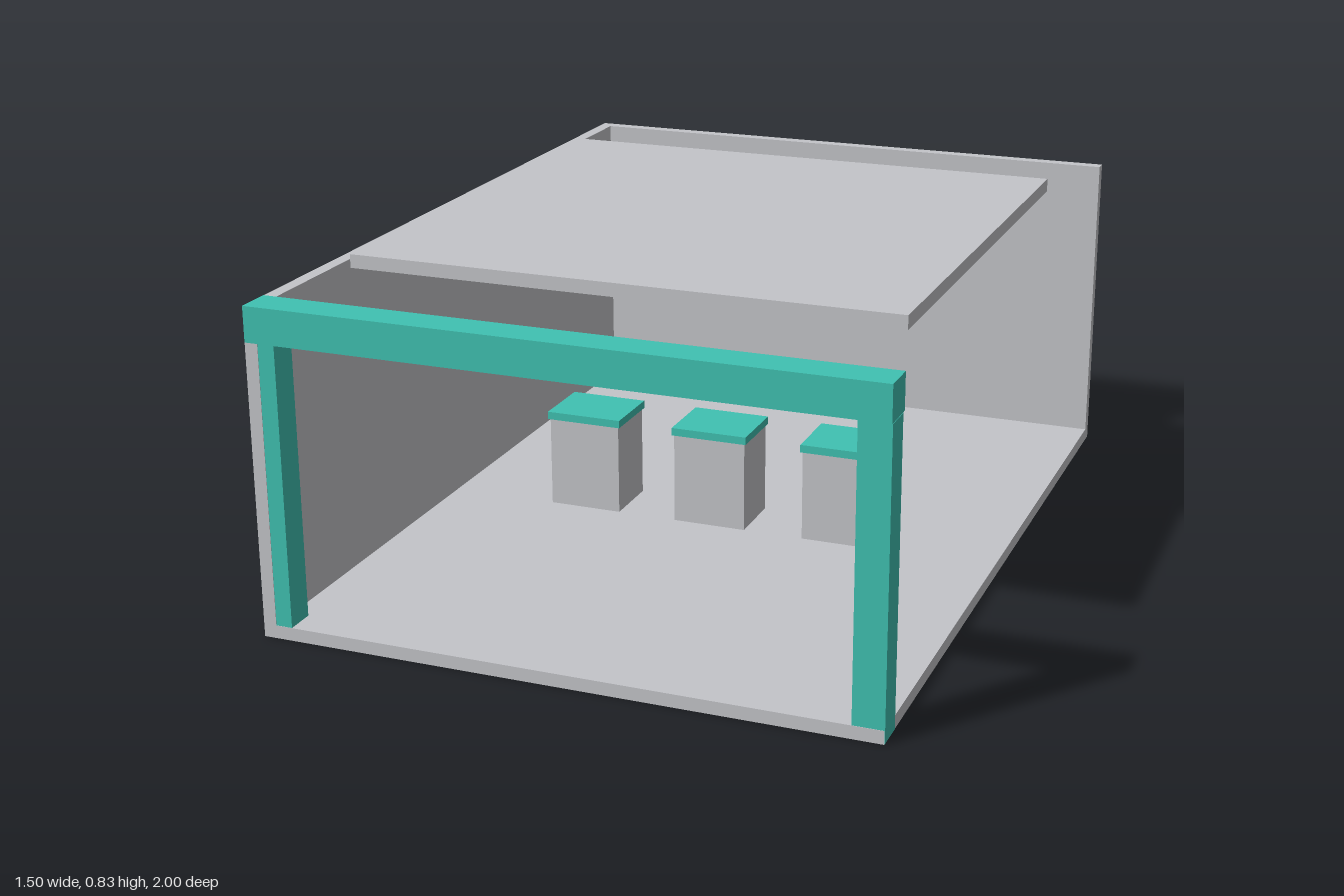
import * as THREE from 'three';

export function createModel() {
  const model = new THREE.Group();
  model.name = 'exhibitionBooth';

  const grey = new THREE.MeshStandardMaterial({ color: 0xc4c5c9 });
  grey.name = 'light grey';
  const teal = new THREE.MeshStandardMaterial({ color: 0x40c2b2 });
  teal.name = 'teal';

  // Box given by its minimum and maximum on each axis
  function slab(name, material, [x0, x1], [y0, y1], [z0, z1], parent = model) {
    const mesh = new THREE.Mesh(new THREE.BoxGeometry(x1 - x0, y1 - y0, z1 - z0), material);
    mesh.position.set((x0 + x1) / 2, (y0 + y1) / 2, (z0 + z1) / 2);
    mesh.name = name;
    parent.add(mesh);
  }

  const W = 0.748; // half width
  const H = 0.8; // wall height
  const T = 0.032; // panel thickness

  // Shell: floor, back wall and one side wall; the other side is open
  slab('floor', grey, [-W, W], [0, T], [-1, 0.999]);
  slab('backWall', grey, [-W, W], [T, H - 0.001], [-1, -1 + T]);
  slab('sideWall', grey, [-W, -W + T], [T, H - 0.001], [-1 + T, 0.999]);

  // Floating ceiling panel
  slab('ceilingPanel', grey, [-0.675, 0.675], [H, 0.833], [-0.648, 0.648]);

  // Front frame: beam on two posts
  slab('frontBeam', teal, [-W + 0.0005, W], [0.715, H], [0.912, 1]);
  slab('rightPost', teal, [-W + 0.001, -0.675], [T, 0.715], [0.925, 0.998]);
  slab('leftPost', teal, [0.675, W + 0.001], [0.001, 0.715], [0.925, 0.998]);

  // Display plinths with overhanging tops
  for (const x of [-0.345, 0, 0.345]) {
    const plinth = new THREE.Group();
    plinth.name = 'plinth';
    plinth.position.x = x;
    slab('plinthBody', grey, [-0.095, 0.095], [T, 0.265], [-0.079, 0.079], plinth);
    slab('plinthTop', teal, [-0.1, 0.1], [0.265, 0.285], [-0.084, 0.084], plinth);
    model.add(plinth);
  }

  return model;
}
